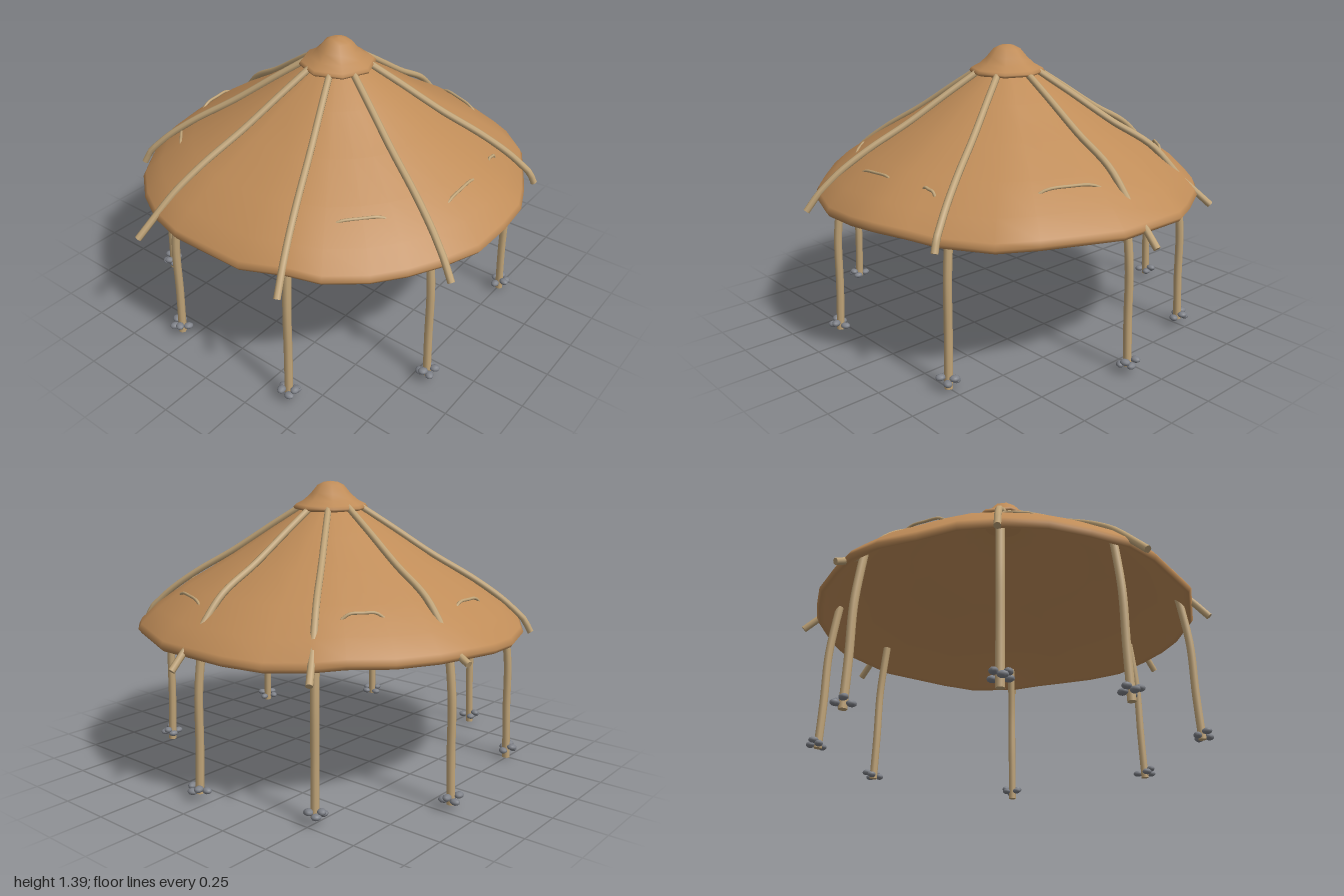
import * as THREE from 'three';
import { mergeGeometries } from 'three/addons/utils/BufferGeometryUtils.js';

const V = (x, y, z) => new THREE.Vector3(x, y, z);
const rad = THREE.MathUtils.degToRad;

// Uneven eave outline: angle (degrees from +x towards +z), radius
const RIM = [[0, .95], [12, .96], [24, .957], [34, .956], [44, .955], [56, .97], [65, .95], [78, .96],
  [101, .957], [111, .965], [123, .96], [134, .957], [145, .934], [157, .95], [168, .94], [180, .944],
  [191, .94], [200, .925], [213, .92], [226, .912], [235, .922], [248, .915], [259, .945], [282, .949],
  [305, .95], [316, .955], [331, .926], [340, .932], [350, .955]];

// Roof section: fraction of the rim radius, height
const OUTER = [[0, 1.3], [.12, 1.27], [.32, 1.15], [.53, 1.02], [.74, .905], [.9, .80], [.985, .725]];
const EDGE = [[1, .70], [.985, .68], [.96, .69]];
const INNER = [[.88, .765], [.72, .88], [.5, .995], [.3, 1.125], [.1, 1.245], [0, 1.27]];

// Height of the outer roof surface at radius r
function roofY(r) {
  const f = r / .95;
  for (let i = 1; i < OUTER.length; i++) {
    const [f0, y0] = OUTER[i - 1], [f1, y1] = OUTER[i];
    if (f <= f1) return y0 + (y1 - y0) * (f - f0) / (f1 - f0);
  }
  return .71;
}

// Closed thatch or hide shell swept around the uneven rim
function roofGeometry() {
  const rows = [...OUTER, ...EDGE, ...INNER], n = RIM.length, pos = [], index = [];
  rows.forEach(([f, y]) => RIM.forEach(([deg, R]) => {
    const a = rad(deg), r = f * (.95 + (R - .95) * f * f);
    const wave = (Math.sin(5 * a + 2.2) + Math.sin(9 * a + 3.6)) * .009 * f ** 6;
    pos.push(r * Math.cos(a) + .012 * (1 - f), y + wave, r * Math.sin(a) + .012 * (1 - f));
  }));
  for (let i = 0; i < rows.length - 1; i++) for (let j = 0; j < n; j++) {
    const a = i * n + j, b = i * n + (j + 1) % n, c = a + n, d = b + n;
    if (i > 0) index.push(a, b, c);
    else index.push(a, d, c);
    if (i > 0 && i < rows.length - 2) index.push(b, d, c);
  }
  const g = new THREE.BufferGeometry();
  g.setAttribute('position', new THREE.Float32BufferAttribute(pos, 3));
  g.setIndex(index);
  g.computeVertexNormals();
  return g;
}

// Round stick along points, with flat ends
function stick(points, radius, steps = 20) {
  const curve = new THREE.CatmullRomCurve3(points);
  const parts = [new THREE.TubeGeometry(curve, steps, radius, 8)];
  for (const t of [0, 1]) {
    const out = curve.getTangent(t).multiplyScalar(t ? 1 : -1);
    const cap = new THREE.CircleGeometry(radius, 8);
    cap.applyQuaternion(new THREE.Quaternion().setFromUnitVectors(V(0, 0, 1), out));
    const p = curve.getPoint(t);
    parts.push(cap.translate(p.x, p.y, p.z));
  }
  return mergeGeometries(parts);
}

export function createModel() {
  const group = new THREE.Group();
  const material = (name, color) => Object.assign(new THREE.MeshStandardMaterial({ color }), { name });
  const hide = material('roof brown', 0xbf8c58);
  const wood = material('pole tan', 0xc0a478);
  const rock = material('stone grey', 0x7e8188);
  const add = (name, geometry, mat, parent = group) => {
    const mesh = new THREE.Mesh(geometry, mat);
    mesh.name = name;
    parent.add(mesh);
    return mesh;
  };

  // Roof and peak cap
  add('roof', roofGeometry(), hide);
  const capProfile = [[0, 1.245], [.15, 1.245], [.178, 1.252], [.183, 1.262], [.172, 1.275], [.13, 1.297],
    [.095, 1.33], [.065, 1.366], [.035, 1.381], [0, 1.386]].map(([r, y]) => new THREE.Vector2(r, y));
  add('peakCap', new THREE.LatheGeometry(capProfile, 8), hide).position.set(.014, 0, .012);

  // Each bay: rafter end x, y, z; post foot x, y, z; whether the rafter dips under the eave
  const bays = [
    [.06, .63, -.985, .06, .03, -.85, true],
    [.85, .67, -.48, .755, .005, -.43, false],
    [.925, .645, .41, .81, .02, .36, false],
    [.415, .64, .935, .385, .03, .85, false],
    [-.38, .62, .985, -.32, .005, .84, false],
    [-.825, .66, .54, -.745, 0, .5, false],
    [-.945, .68, -.23, -.86, .02, -.2, true],
    [-.565, .645, -.805, -.5, .03, -.7, true],
  ];
  bays.forEach(([ex, ey, ez, px, py, pz, dips], k) => {
    const bay = new THREE.Group();
    bay.name = 'bay' + (k + 1);
    group.add(bay);

    // Rafter laid on the roof slope
    const R = Math.hypot(ex, ez);
    const radii = dips ? [.14, .3, .5, .7, .84, .91] : [.14, .3, .5, .7, .84, .92, .95];
    const path = radii.map(r => {
      const lift = dips && r > .8 ? -.04 : .014;
      return V(ex * r / R + .012 * (1 - r), roofY(r) + lift, ez * r / R + .012 * (1 - r));
    });
    add('rafter', stick([...path, V(ex, ey, ez)], .0165, 28), wood, bay);

    // Post leaning slightly inwards, a little bent
    const at = (s, y) => V(px * s, y, pz * s);
    add('post', stick([at(1, py), at(.99, .25), at(.985, .5), at(.96, .68), at(.945, .765)], .0195), wood, bay);

    // Stones around the foot
    for (let i = 0; i < 5; i++) {
      const a = Math.atan2(pz, px) + (i - 2) * 1.05 + .3 * Math.sin(k * 3 + i);
      const stone = add('footStone', new THREE.IcosahedronGeometry(.021, 1), rock, bay);
      stone.position.set(px + .035 * Math.cos(a), .044 + (i % 2) * .018, pz + .035 * Math.sin(a));
      stone.scale.set(1.15, .72, .95);
      stone.rotation.y = k + i * 1.7;
    }
  });

  // Thin binding sticks showing through the roof: x, z at both ends
  const bindings = [[.16, -.73, .4, -.63], [-.61, -.41, -.52, -.52], [-.74, 0, -.73, .18],
    [-.64, .44, -.54, .54], [.46, .61, .61, .45], [.75, -.04, .75, .18], [.71, -.3, .715, -.24]];
  bindings.forEach(([x0, z0, x1, z1]) => {
    const points = [-.15, .1, .5, .9, 1.15].map((t, i) => {
      const x = x0 + (x1 - x0) * t, z = z0 + (z1 - z0) * t;
      return V(x, roofY(Math.hypot(x, z)) + (i % 4 ? .001 : -.02), z);
    });
    add('bindingStick', stick(points, .007, 12), wood);
  });

  return group;
}
